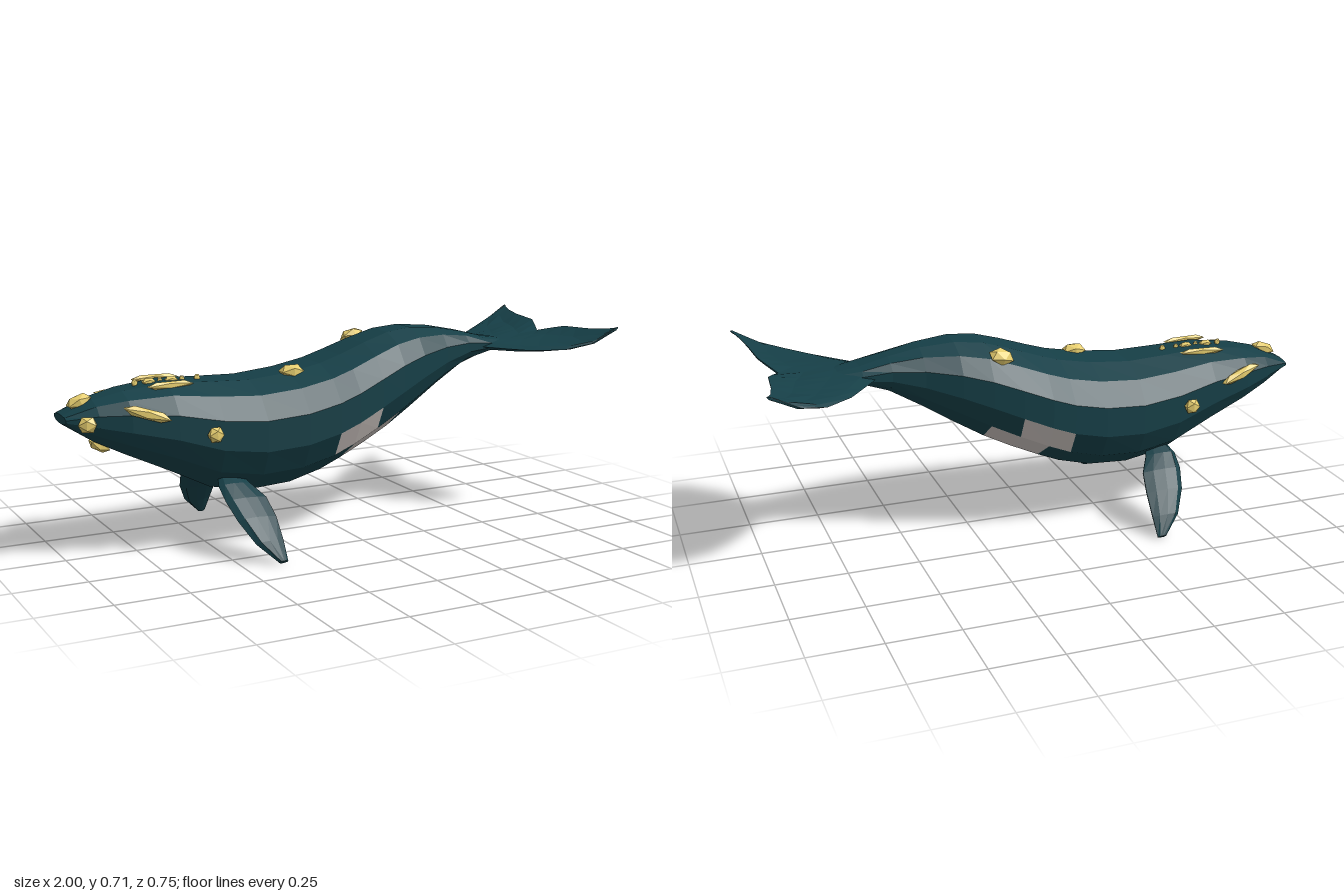
import * as THREE from 'three';

const mat = (color) => new THREE.MeshStandardMaterial({ color, flatShading: true, roughness: 0.8 });
const skin = mat(0x163f47), belly = mat(0xc8c0bc), growth = mat(0xe8cf70);

// Skins a row of closed rings; keep(i, j) picks which panels are built.
function loft(rings, keep = () => true, caps = true) {
  const pos = [];
  const tri = (a, b, c) => pos.push(...a, ...b, ...c);
  const n = rings[0].length;
  for (let i = 0; i < rings.length - 1; i++) {
    for (let j = 0; j < n; j++) {
      if (!keep(i, j)) continue;
      const k = (j + 1) % n;
      const a = rings[i][j], b = rings[i][k], c = rings[i + 1][k], d = rings[i + 1][j];
      tri(a, b, c);
      tri(a, c, d);
    }
  }
  if (caps) {
    const s = rings[0], e = rings[rings.length - 1];
    for (let j = 1; j < n - 1; j++) {
      tri(s[0], s[j + 1], s[j]);
      tri(e[0], e[j], e[j + 1]);
    }
  }
  const g = new THREE.BufferGeometry();
  g.setAttribute('position', new THREE.Float32BufferAttribute(pos, 3));
  g.computeVertexNormals();
  return g;
}

// Body stations: x, top y, bottom y, half width
const BODY = [
  [-1, 0.505, 0.475, 0.07], [-0.9, 0.55, 0.41, 0.112], [-0.8, 0.573, 0.36, 0.15],
  [-0.65, 0.59, 0.29, 0.182], [-0.5, 0.583, 0.215, 0.207], [-0.35, 0.578, 0.19, 0.228],
  [-0.2, 0.592, 0.2, 0.24], [-0.08, 0.615, 0.232, 0.24], [0, 0.64, 0.265, 0.235],
  [0.1, 0.675, 0.31, 0.215], [0.2, 0.705, 0.36, 0.19], [0.3, 0.715, 0.42, 0.16],
  [0.42, 0.705, 0.495, 0.118], [0.53, 0.683, 0.56, 0.094], [0.63, 0.658, 0.595, 0.09],
  [0.74, 0.641, 0.612, 0.06], [0.84, 0.642, 0.625, 0.02],
];
const HALF = [[0.3, 1], [0.73, 0.8], [1, 0.4], [1, -0.15], [0.8, -0.6], [0.3, -1]];
const SECTION = [...HALF, ...HALF.map(([u, v]) => [-u, v]).reverse()];

// Flukes: half span z, leading x, trailing x
const FLUKE = [
  [0, 0.56, 0.9], [0.06, 0.57, 0.93], [0.105, 0.6, 0.95], [0.17, 0.655, 0.957], [0.23, 0.705, 0.963],
  [0.31, 0.8, 0.978], [0.35, 0.89, 0.992], [0.365, 0.985, 1],
];
const RISE = [[0.5, 0.63], [0.7, 0.624], [0.8, 0.631], [0.9, 0.655], [1, 0.708]];
function rise(x) {
  let i = 0;
  while (i < RISE.length - 2 && x > RISE[i + 1][0]) i++;
  const [x0, y0] = RISE[i], [x1, y1] = RISE[i + 1];
  return y0 + (y1 - y0) * (x - x0) / (x1 - x0);
}

// Blade outline as chord fraction and thickness, lead > underside > trail > top
const BLADE = [[0, 0], [0.15, -0.8], [0.45, -1], [0.75, -0.7], [1, -0.15],
  [1, 0.15], [0.75, 0.7], [0.45, 1], [0.15, 0.8]];

function flukeGeometry() {
  const spans = [...FLUKE.slice(1).map(([z, a, b]) => [-z, a, b]).reverse(), ...FLUKE];
  return loft(spans.map(([z, a, b]) => {
    const thick = 0.022 * (1 - 0.75 * Math.abs(z) / 0.365);
    return BLADE.map(([c, t]) => {
      const x = a + (b - a) * c;
      return [x, rise(x) + t * thick, z];
    });
  }));
}

// Flipper stations: y, z, leading x, trailing x, half thickness
const FLIPPER = [
  [0.27, 0.08, -0.48, -0.41, 0.015], [0.235, 0.155, -0.505, -0.39, 0.018],
  [0.195, 0.21, -0.503, -0.355, 0.018], [0.14, 0.268, -0.485, -0.345, 0.018],
  [0.07, 0.325, -0.445, -0.345, 0.016], [0.01, 0.367, -0.38, -0.348, 0.01],
];
function flipperGeometry(side) {
  const rings = FLIPPER.map(([y, z, a, b, h]) => BLADE.map(([c, t]) =>
    [a + (b - a) * c, y + t * h * 0.65, side * (z + t * h * 0.75)]));
  return loft(side > 0 ? rings : rings.reverse());
}

export function createModel() {
  const model = new THREE.Group();
  const add = (name, geometry, material) => {
    const mesh = new THREE.Mesh(geometry, material);
    mesh.name = name;
    model.add(mesh);
    return mesh;
  };

  // Body, with pale panels under the belly
  const rings = BODY.map(([x, top, bottom, w]) => SECTION.map(([u, v]) =>
    [x, (top + bottom) / 2 + v * (top - bottom) / 2, u * w]));
  const pale = (i, j) => {
    const x = BODY[i][0];
    if (j >= 4 && j <= 6) return x >= 0 && x < 0.2;
    return (j === 3 || j === 7) && x >= -0.08 && x < 0.1;
  };
  add('body', loft(rings, (i, j) => !pale(i, j)), skin);
  add('bellyPatch', loft(rings, pale, false), belly);

  // Tail and flippers
  add('tailFlukes', flukeGeometry(), skin);
  add('flipperNear', flipperGeometry(1), skin);
  add('flipperFar', flipperGeometry(-1), skin);

  // Rough growths: position, radii, turn about x, y, z
  const bump = (name, p, r, turn = [0, 0, 0]) => {
    const mesh = add(name, new THREE.IcosahedronGeometry(1, 0), growth);
    mesh.position.set(...p);
    mesh.scale.set(...r);
    mesh.rotation.set(...turn);
  };
  bump('snoutGrowth', [-0.935, 0.543, 0], [0.048, 0.024, 0.034], [0, 0, 0.35]);
  bump('lipGrowth', [-0.938, 0.482, 0.1], [0.035, 0.03, 0.022], [0, -0.4, 0]);
  bump('chinGrowth', [-0.87, 0.388, 0], [0.042, 0.022, 0.034], [0, 0, -0.5]);
  bump('backGrowth', [-0.19, 0.596, 0.07], [0.048, 0.026, 0.036]);
  bump('rearBackGrowth', [0.155, 0.672, -0.132], [0.048, 0.026, 0.036], [-0.5, 0, 0.2]);
  for (const s of [1, -1]) {
    bump('browGrowth', [-0.755, 0.513, s * 0.167], [0.095, 0.02, 0.02], [0, -s * 0.2, -0.3]);
    bump('cheekGrowth', [-0.538, 0.432, s * 0.218], [0.03, 0.03, 0.022]);
    bump('crownRidge', [-0.64, 0.585, s * 0.076], [0.098, 0.015, 0.012], [0, s * 0.06, 0]);
  }
  for (const [x, r] of [[-0.74, 0.012], [-0.69, 0.026], [-0.65, 0.01], [-0.61, 0.026], [-0.57, 0.01], [-0.515, 0.012]]) {
    bump('crownGrowth', [x, 0.588, 0], [r, 0.014, r * 0.7]);
  }
  return model;
}
